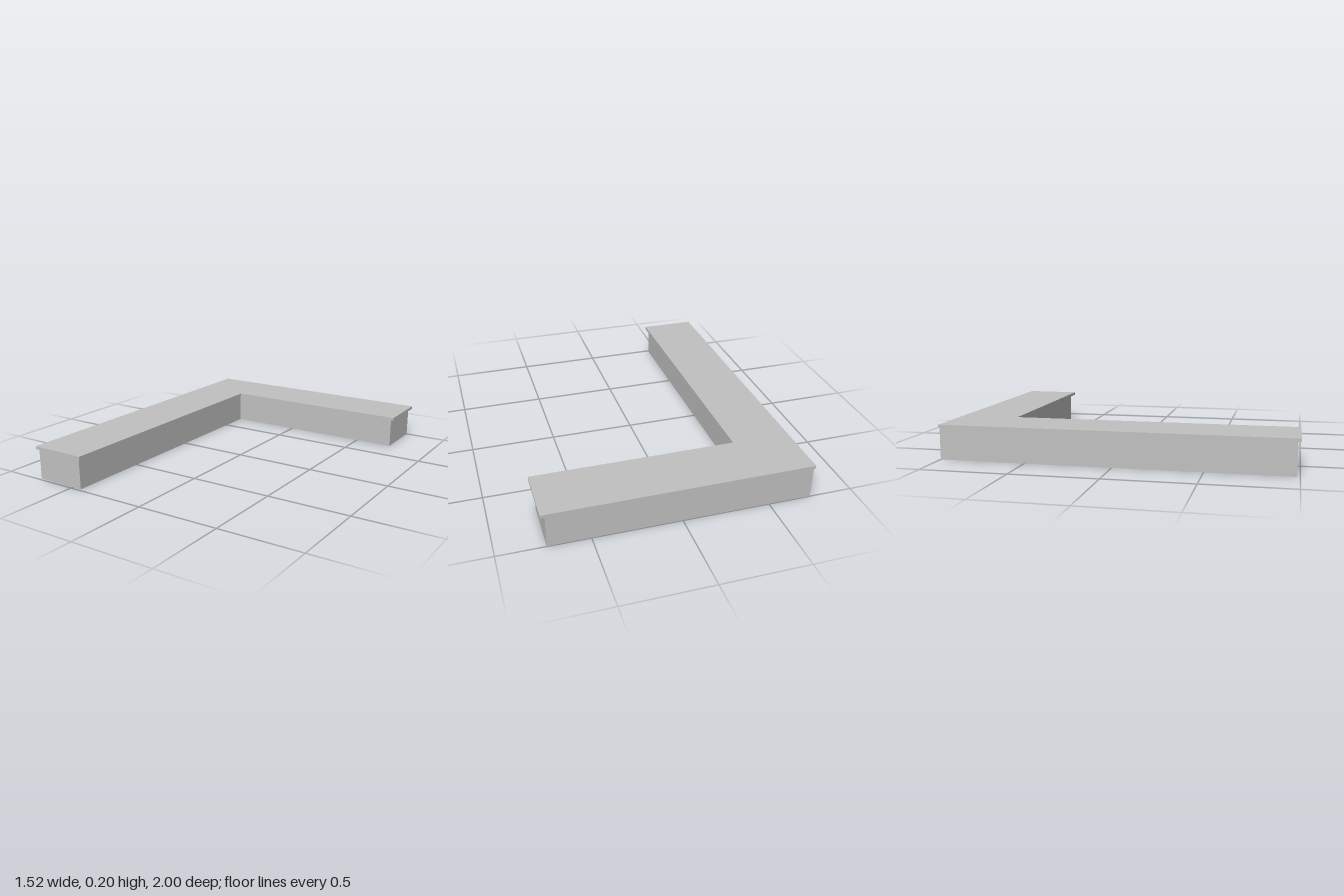
import * as THREE from 'three';

// L-shaped slab: long arm runs along z on the -x side, short arm along x at the back
function lSlab({ x0, x1, innerX, z0, z1, innerZ, y0, y1 }) {
  const outline = [[x0, z0], [x1, z0], [x1, innerZ], [innerX, innerZ], [innerX, z1], [x0, z1]];
  const shape = new THREE.Shape(outline.map(([x, z]) => new THREE.Vector2(x, -z)));
  const geometry = new THREE.ExtrudeGeometry(shape, { depth: y1 - y0, bevelEnabled: false });
  return geometry.rotateX(-Math.PI / 2).translate(0, y0, 0);
}

export function createModel() {
  const group = new THREE.Group();
  group.name = 'cornerBench';
  const grey = new THREE.MeshStandardMaterial({ color: 0xc0c0c0 });
  grey.name = 'light grey';

  const add = (name, dims) => {
    const mesh = new THREE.Mesh(lSlab(dims), grey);
    mesh.name = name;
    group.add(mesh);
  };

  // Solid base, set in below the top but almost flush at the back
  add('base', { x0: -0.75, x1: 0.735, innerX: -0.438, z0: -0.998, z1: 0.985, innerZ: -0.684, y0: 0, y1: 0.185 });
  // Thin overhanging top
  add('top', { x0: -0.76, x1: 0.76, innerX: -0.418, z0: -1, z1: 1, innerZ: -0.658, y0: 0.185, y1: 0.203 });
  return group;
}
